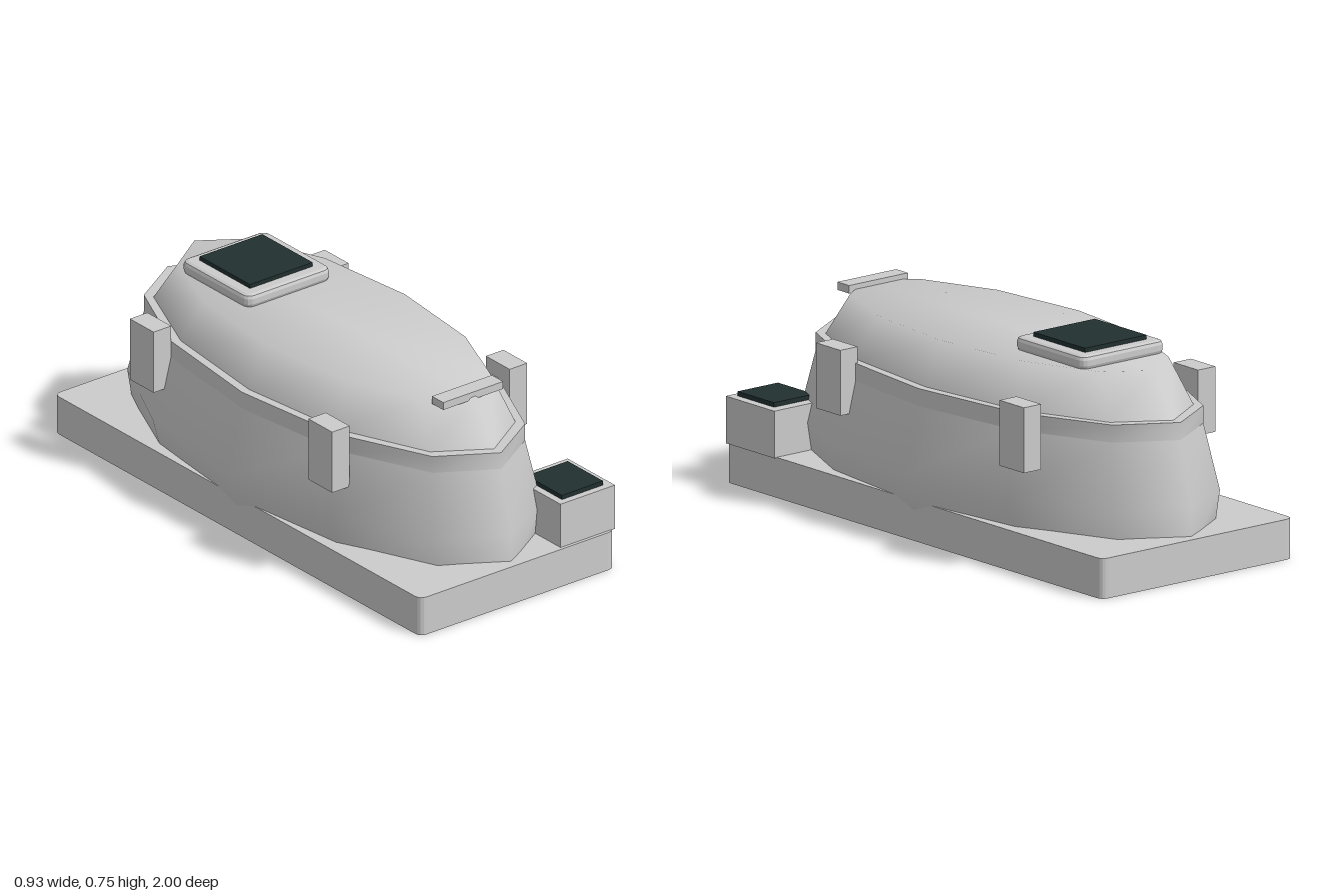
import * as THREE from 'three';

const SIDES = 12;

// Smooth twelve-sided elliptical shell through rings [y, radiusX, radiusZ], lowest first
function loft(rings, capped) {
  const pos = [], index = [];
  for (const [y, rx, rz] of rings) {
    for (let i = 0; i < SIDES; i++) {
      const a = (i / SIDES) * Math.PI * 2;
      pos.push(Math.sin(a) * rx, y, Math.cos(a) * rz);
    }
  }
  for (let j = 0; j < rings.length - 1; j++) {
    for (let i = 0; i < SIDES; i++) {
      const k = (i + 1) % SIDES;
      const a = j * SIDES + i, b = j * SIDES + k;
      index.push(a, b, b + SIDES, a, b + SIDES, a + SIDES);
    }
  }
  if (capped) {
    const top = (rings.length - 1) * SIDES, centre = rings.length * SIDES;
    pos.push(0, rings[rings.length - 1][0], 0);
    for (let i = 0; i < SIDES; i++) index.push(centre, top + i, top + ((i + 1) % SIDES));
  }
  const g = new THREE.BufferGeometry();
  g.setAttribute('position', new THREE.Float32BufferAttribute(pos, 3));
  g.setIndex(index);
  g.computeVertexNormals();
  return g;
}

// Upright slab with rounded vertical corners, standing on y = 0, optionally bevelled
function slab(w, h, d, r, bevel = 0) {
  const x = w / 2 - bevel, z = d / 2 - bevel;
  const s = new THREE.Shape();
  s.moveTo(-x + r, -z);
  s.lineTo(x - r, -z);
  s.quadraticCurveTo(x, -z, x, -z + r);
  s.lineTo(x, z - r);
  s.quadraticCurveTo(x, z, x - r, z);
  s.lineTo(-x + r, z);
  s.quadraticCurveTo(-x, z, -x, z - r);
  s.lineTo(-x, -z + r);
  s.quadraticCurveTo(-x, -z, -x + r, -z);
  const g = new THREE.ExtrudeGeometry(s, {
    depth: h - 2 * bevel, curveSegments: 4, bevelEnabled: bevel > 0,
    bevelSize: bevel, bevelThickness: bevel, bevelSegments: 2,
  });
  g.rotateX(-Math.PI / 2);
  g.translate(0, bevel, 0);
  return g;
}

export function createModel() {
  const model = new THREE.Group();
  model.name = 'podOnPlinth';
  const shell = new THREE.MeshStandardMaterial({ color: 0xcccccc });
  shell.name = 'light grey shell';
  const glass = new THREE.MeshStandardMaterial({ color: 0x223030 });
  glass.name = 'dark glass';

  const add = (name, geometry, material, x = 0, y = 0, z = 0) => {
    const m = new THREE.Mesh(geometry, material);
    m.name = name;
    m.position.set(x, y, z);
    model.add(m);
    return m;
  };
  // Box given by its minimum and maximum on each axis
  const box = (name, material, [x0, x1], [y0, y1], [z0, z1]) =>
    add(name, new THREE.BoxGeometry(x1 - x0, y1 - y0, z1 - z0), material,
      (x0 + x1) / 2, (y0 + y1) / 2, (z0 + z1) / 2);

  // Plinth
  add('plinth', slab(0.845, 0.142, 2, 0.03), shell);

  // Pod: lower hull, rim band with its ledge, and upper canopy
  add('lowerHull', loft([[0.1, 0.42, 0.965], [0.24, 0.467, 0.967], [0.47, 0.402, 0.91]]), shell);
  add('rimBand', loft([[0.47, 0.402, 0.91], [0.532, 0.402, 0.91]]), shell);
  add('rimLedge', loft([[0.532, 0.402, 0.91], [0.532, 0.365, 0.865]]), shell);
  add('canopy', loft([[0.532, 0.37, 0.872], [0.685, 0.305, 0.765]], true), shell);

  // Four clamps along the sides
  for (const side of [-1, 1]) {
    for (const z of [0.455, -0.52]) {
      add('clamp', new THREE.BoxGeometry(0.076, 0.23, 0.13), shell, side * 0.385, 0.474, z);
    }
  }

  // Hatch with its window
  add('hatchFrame', slab(0.368, 0.05, 0.37, 0.02, 0.015), shell, 0, 0.68, -0.427);
  box('hatchWindow', glass, [-0.136, 0.136], [0.725, 0.745], [-0.565, -0.29]);

  // Bar across the front of the canopy
  box('frontBar', shell, [-0.13, 0.13], [0.675, 0.703], [0.696, 0.758]);

  // Control box with its screen at the front left corner
  box('controlBox', shell, [0.196, 0.432], [0.14, 0.306], [0.73, 0.988]);
  box('controlScreen', glass, [0.222, 0.4], [0.3, 0.322], [0.77, 0.963]);

  return model;
}
